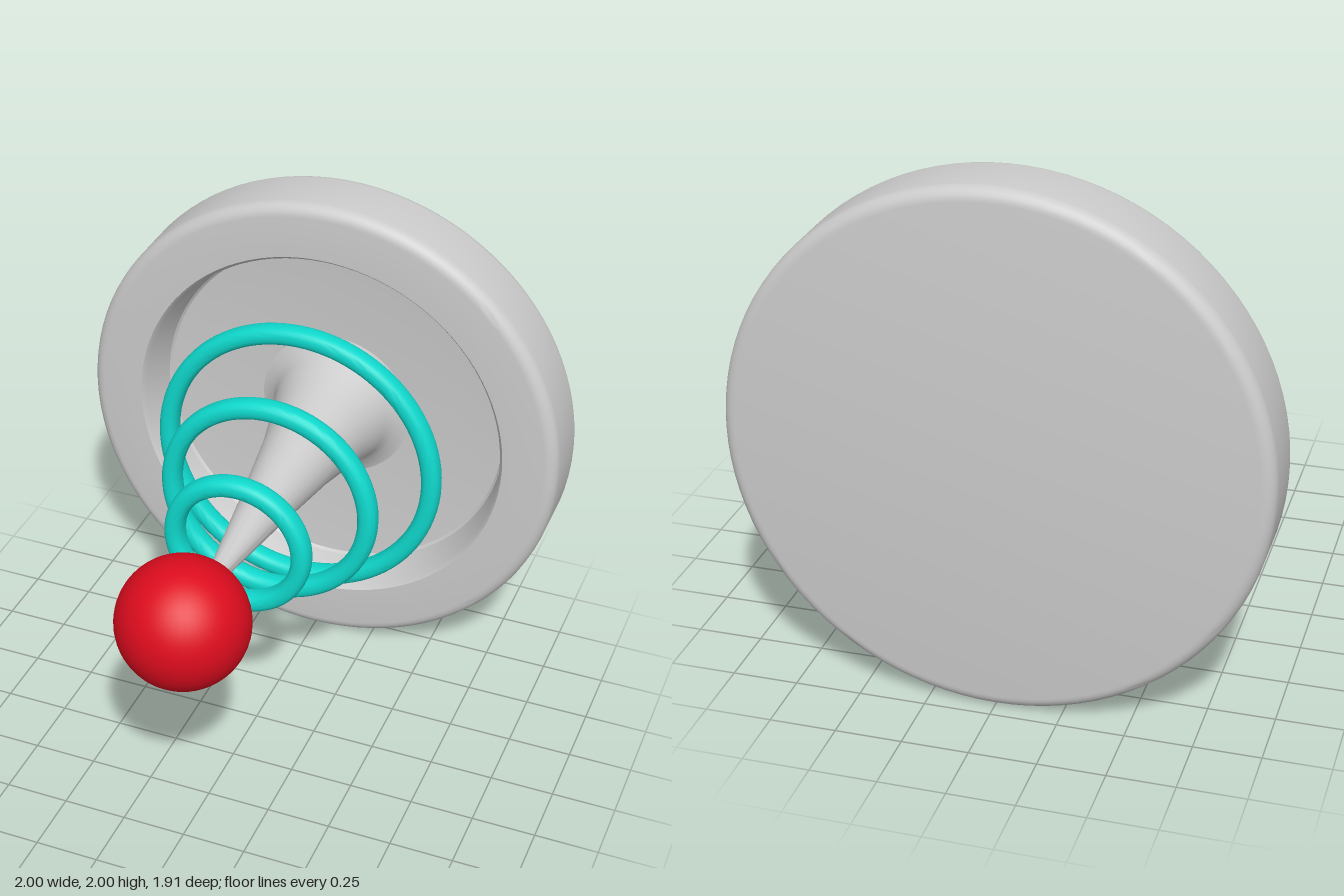
import * as THREE from 'three';
import { toCreasedNormals } from 'three/addons/utils/BufferGeometryUtils.js';

const grey = new THREE.MeshStandardMaterial({ color: 0xcccccc });
const teal = new THREE.MeshStandardMaterial({ color: 0x0fd8cc });
const red = new THREE.MeshStandardMaterial({ color: 0xdd0c1e });

// Turns a profile of [radius, z] pairs around the z axis
function turned(name, profile, material, crease = 0.6) {
  const points = profile.map(([r, z]) => new THREE.Vector2(r, z));
  const geometry = new THREE.LatheGeometry(points, 96).rotateX(Math.PI / 2);
  const mesh = new THREE.Mesh(toCreasedNormals(geometry, crease), material);
  mesh.name = name;
  return mesh;
}

// Quarter-round corner from angle a0 to a1
function corner(r, z, radius, a0, a1, steps = 6) {
  return Array.from({ length: steps + 1 }, (_, i) => {
    const a = a0 + ((a1 - a0) * i) / steps;
    return [r + radius * Math.cos(a), z + radius * Math.sin(a)];
  });
}

export function createModel() {
  const model = new THREE.Group();
  model.name = 'antenna';
  const assembly = new THREE.Group();
  assembly.name = 'dishAssembly';
  assembly.position.y = 1;
  model.add(assembly);

  // Round base with a rounded rim and a recessed front
  const q = Math.PI / 2;
  assembly.add(turned('dish', [
    [0, -0.955],
    ...corner(0.95, -0.905, 0.05, -q, 0),
    ...corner(0.95, -0.7, 0.05, 0, q),
    [0.78, -0.65],
    [0.765, -0.67],
    [0.735, -0.84],
    [0.725, -0.85],
    [0.55, -0.865],
    [0, -0.87],
  ], grey));

  // Tapered stem, flared where it meets the dish and the ball
  assembly.add(turned('stem', [
    [0.32, -0.868], [0.27, -0.85], [0.24, -0.8], [0.2, -0.65], [0.155, -0.44],
    [0.095, -0.05], [0.062, 0.19], [0.038, 0.36], [0.034, 0.41], [0.042, 0.47], [0.06, 0.5],
  ], grey, 1));

  // Three floating rings, shrinking towards the ball
  [[0.595, -0.44], [0.445, -0.125], [0.295, 0.19]].forEach(([outer, z], i) => {
    const profile = [];
    const steps = 24;
    for (let k = 0; k <= steps; k++) {
      const a = ((k % steps) / steps) * Math.PI * 2;
      const c = Math.cos(a), s = Math.sin(a);
      // Slightly squared oval section
      profile.push([
        outer - 0.038 + 0.038 * Math.sign(c) * Math.abs(c) ** 0.8,
        z + 0.045 * Math.sign(s) * Math.abs(s) ** 0.8,
      ]);
    }
    assembly.add(turned(`ring${i + 1}`, profile, teal, 1));
  });

  // Ball at the tip
  const ball = new THREE.Mesh(new THREE.SphereGeometry(0.25, 48, 32), red);
  ball.name = 'ball';
  ball.position.z = 0.705;
  assembly.add(ball);

  return model;
}
